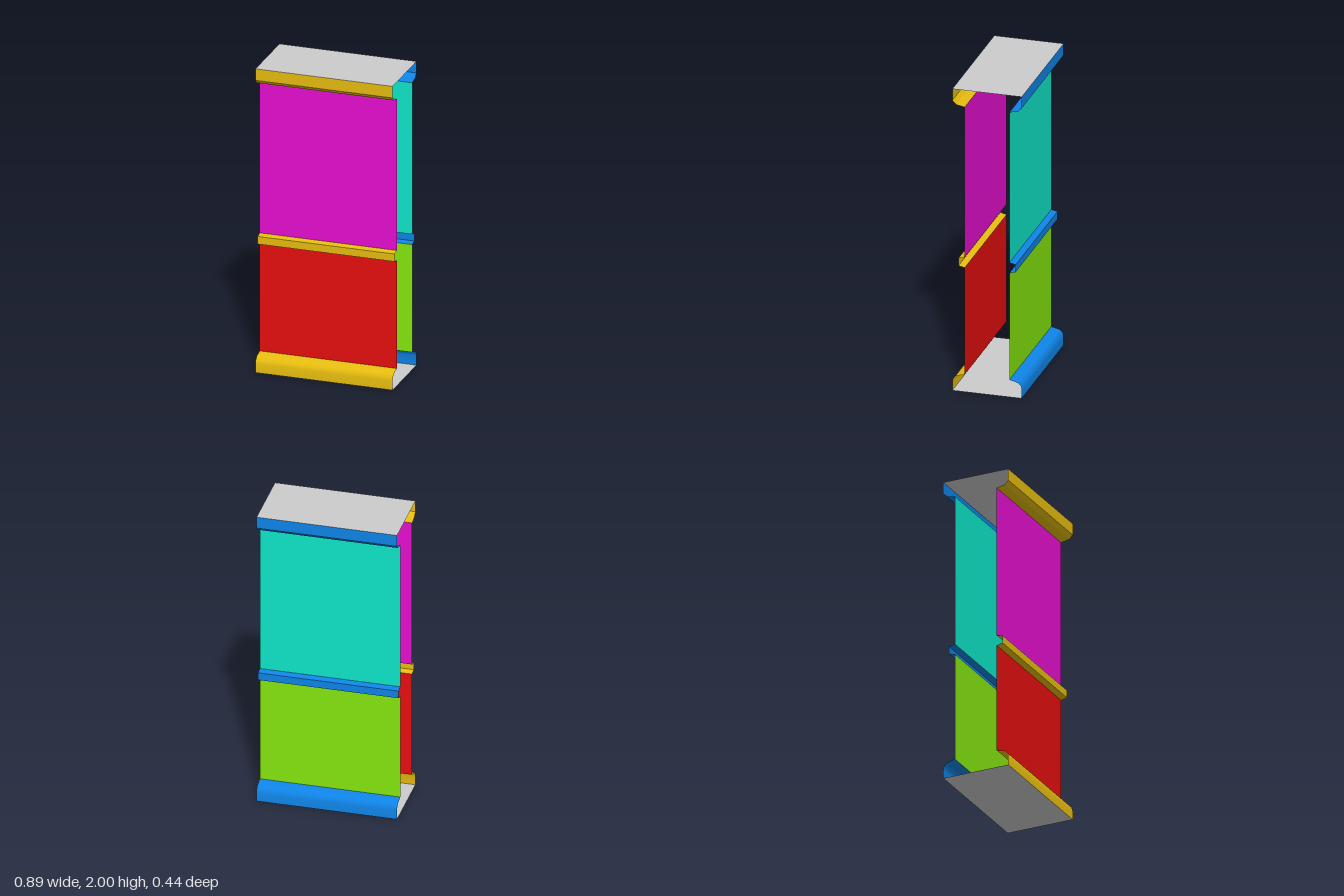
import * as THREE from 'three';
import { toCreasedNormals } from 'three/addons/utils/BufferGeometryUtils.js';

const HALF = 0.445;   // half width
const EDGE = 0.222;   // depth of the outer mouldings
const FACE = 0.143;   // depth of the flat panels

// Sheet swept along x from a [z, y] profile listed from bottom to top.
function sheet(name, color, profile) {
  const pos = [];
  for (let i = 0; i < profile.length - 1; i++) {
    const [z0, y0] = profile[i], [z1, y1] = profile[i + 1];
    pos.push(-HALF, y0, z0, HALF, y0, z0, HALF, y1, z1);
    pos.push(-HALF, y0, z0, HALF, y1, z1, -HALF, y1, z1);
  }
  let geo = new THREE.BufferGeometry();
  geo.setAttribute('position', new THREE.Float32BufferAttribute(pos, 3));
  geo = toCreasedNormals(geo, 0.5);
  const mesh = new THREE.Mesh(geo, new THREE.MeshStandardMaterial({ color, side: THREE.DoubleSide }));
  mesh.name = name;
  return mesh;
}

// One wall: base, lower panel, middle band, upper panel and cornice.
function wall(name, trim, lower, upper) {
  const g = new THREE.Group();
  g.name = name;
  g.add(
    sheet('baseMoulding', trim, [[EDGE, 0], [EDGE, 0.06], [0.217, 0.08], [0.203, 0.097], [0.185, 0.104], [FACE, 0.114]]),
    sheet('lowerPanel', lower, [[FACE, 0.114], [FACE, 0.823]]),
    sheet('middleBand', trim, [[FACE, 0.823], [0.183, 0.832], [0.183, 0.882], [FACE, 0.891]]),
    sheet('upperPanel', upper, [[FACE, 0.891], [FACE, 1.888]]),
    sheet('corniceMoulding', trim, [[FACE, 1.888], [0.198, 1.899], [EDGE, 1.924], [EDGE, 2]])
  );
  return g;
}

// Flat plate closing the top or bottom.
function plate(name, y, tilt) {
  const mesh = new THREE.Mesh(
    new THREE.PlaneGeometry(HALF * 2, EDGE * 2),
    new THREE.MeshStandardMaterial({ color: 0xcccccc, side: THREE.DoubleSide })
  );
  mesh.rotation.x = tilt;
  mesh.position.y = y;
  mesh.name = name;
  return mesh;
}

export function createModel() {
  const model = new THREE.Group();
  model.name = 'wallSegment';
  const front = wall('frontWall', 0xe6bc0f, 0xe60f0f, 0xe60fd0);
  const back = wall('backWall', 0x0f84e6, 0x85e60f, 0x0fe6c8);
  back.rotation.y = Math.PI;
  model.add(front, back, plate('topPlate', 2, -Math.PI / 2), plate('bottomPlate', 0, Math.PI / 2));
  return model;
}
